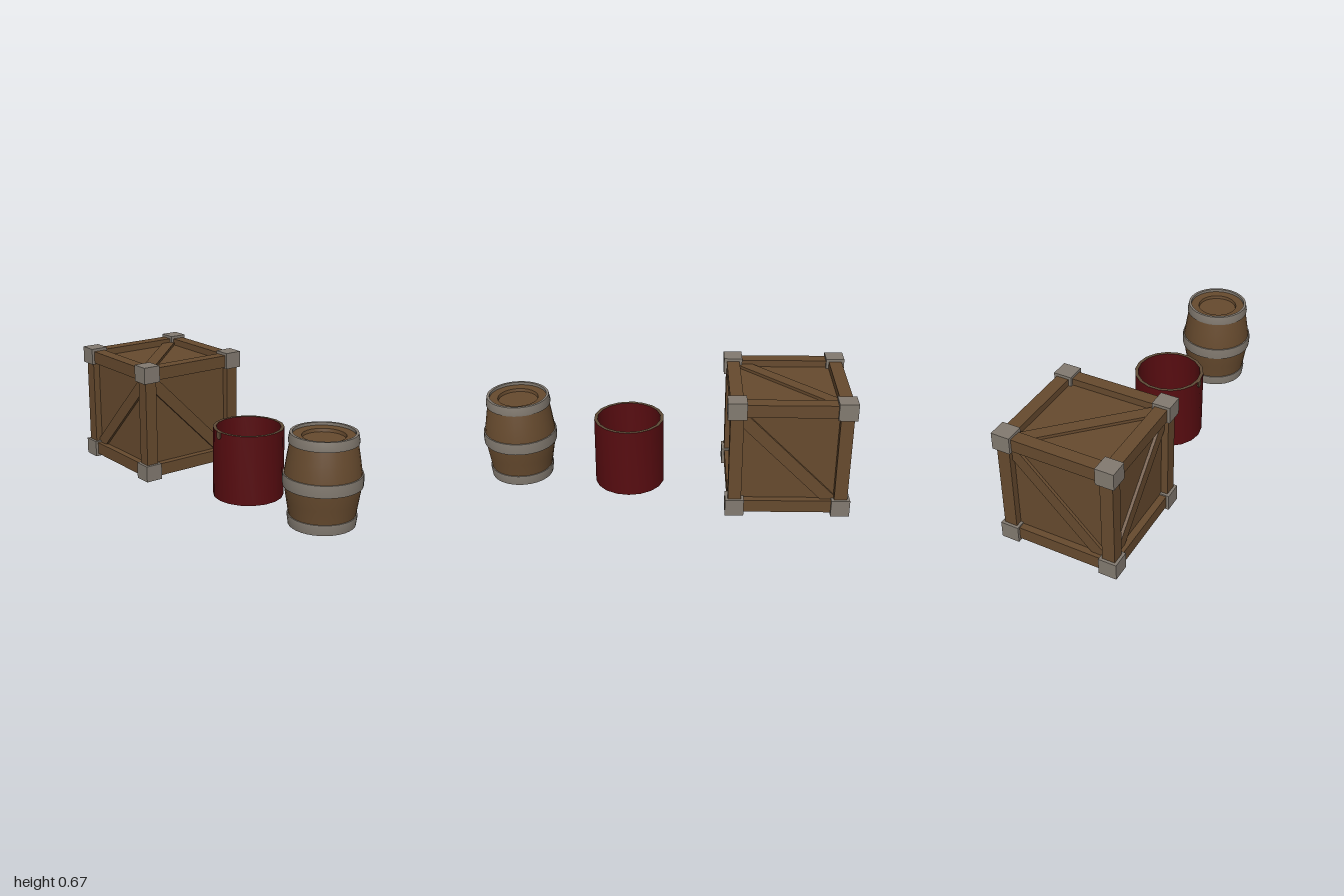
import * as THREE from 'three';
import { toCreasedNormals } from 'three/addons/utils/BufferGeometryUtils.js';

const material = (name, color) => {
  const m = new THREE.MeshStandardMaterial({ color });
  m.name = name;
  return m;
};

export function createModel() {
  const wood = material('wood', 0x664a2e);
  const metal = material('metal', 0x827a70);
  const red = material('redPaint', 0x570c10);
  const rimBrown = material('wornRim', 0x5f4a36);

  const group = (name, parent, x, y, z) => {
    const g = new THREE.Group();
    g.name = name;
    g.position.set(x, y, z);
    parent.add(g);
    return g;
  };
  const add = (parent, name, geometry, mat, x = 0, y = 0, z = 0) => {
    const m = new THREE.Mesh(geometry, mat);
    m.name = name;
    m.position.set(x, y, z);
    parent.add(m);
    return m;
  };
  // Turned part: smooth around, sharp at profile corners
  const turned = (parent, name, profile, sides, mat) => {
    const points = profile.map(([r, y]) => new THREE.Vector2(r, y));
    return add(parent, name, toCreasedNormals(new THREE.LatheGeometry(points, sides), 0.5), mat);
  };

  const model = new THREE.Group();
  model.name = 'crateBucketBarrel';

  // Crate: recessed core, twelve beams, eight corner blocks
  const crate = group('crate', model, -0.667, 0.3335, 0);
  add(crate, 'panels', new THREE.BoxGeometry(0.56, 0.56, 0.56), wood);
  const beamAt = 0.283, cornerAt = 0.283, cornerYAt = 0.287;
  for (const a of [-1, 1]) {
    for (const b of [-1, 1]) {
      add(crate, 'beamX', new THREE.BoxGeometry(0.48, 0.07, 0.07), wood, 0, a * beamAt, b * beamAt);
      add(crate, 'beamY', new THREE.BoxGeometry(0.07, 0.49, 0.07), wood, a * beamAt, 0, b * beamAt);
      add(crate, 'beamZ', new THREE.BoxGeometry(0.07, 0.07, 0.48), wood, a * beamAt, b * beamAt, 0);
      for (const c of [-1, 1]) {
        add(crate, 'cornerBlock', new THREE.BoxGeometry(0.1, 0.093, 0.1), metal,
          a * cornerAt, b * cornerYAt, c * cornerAt);
      }
    }
  }
  // Diagonal brace on each side and the top: [turn x, turn y, slope]
  const braces = [
    [0, 0, 1], [0, Math.PI, -1], [0, Math.PI / 2, -1], [0, -Math.PI / 2, -1], [-Math.PI / 2, 0, -1],
  ];
  for (const [rx, ry, slope] of braces) {
    const face = group('brace', crate, 0, 0, 0);
    face.rotation.set(rx, ry, 0);
    const tilt = group('braceTilt', face, 0, 0, 0);
    tilt.rotation.z = slope * Math.PI / 4;
    add(tilt, 'diagonalPlank', new THREE.BoxGeometry(0.7, 0.068, 0.03), wood, 0, -0.018, 0.281);
  }

  // Open bucket
  const bucket = group('bucket', model, 0.19, 0, 0.018);
  turned(bucket, 'bucketOutside', [[0, 0.025], [0.192, 0.025], [0.192, 0.408]], 18, red);
  turned(bucket, 'bucketRim', [[0.192, 0.408], [0.174, 0.408]], 18, rimBrown);
  turned(bucket, 'bucketInside', [[0.174, 0.408], [0.174, 0.05], [0, 0.05]], 18, red);
  // Worn patch running down from the rim
  const patch = new THREE.Shape();
  patch.moveTo(0.017, 0.408);
  patch.lineTo(-0.017, 0.408);
  patch.lineTo(-0.017, 0.385);
  patch.absarc(0, 0.385, 0.017, Math.PI, Math.PI * 2, false);
  add(bucket, 'wornPatch', new THREE.ExtrudeGeometry(patch, { depth: 0.009, bevelEnabled: false, curveSegments: 6 }),
    rimBrown, -0.01, 0, 0.186);

  // Barrel: bulging body with a stepped lid
  const barrel = group('barrel', model, 0.797, 0, 0.033);
  turned(barrel, 'barrelBody', [
    [0, 0.062], [0.164, 0.062], [0.169, 0.115], [0.181, 0.19], [0.193, 0.264], [0.195, 0.297],
    [0.193, 0.33], [0.181, 0.41], [0.168, 0.487], [0.161, 0.52], [0.11, 0.517], [0.107, 0.5], [0, 0.5],
  ], 32, wood);
  // Hoops: closed rings
  const hoop = (name, y0, r0, yMid, rMid, y1, r1, inner) => turned(barrel, name,
    [[inner, y0], [r0, y0], [rMid, yMid], [r1, y1], [inner, y1], [inner, y0]], 32, metal);
  hoop('bottomHoop', 0.06, 0.17, 0.105, 0.176, 0.115, 0.175, 0.158);
  hoop('middleHoop', 0.265, 0.2, 0.297, 0.202, 0.328, 0.2, 0.185);
  hoop('topHoop', 0.486, 0.175, 0.495, 0.176, 0.535, 0.169, 0.155);

  return model;
}
